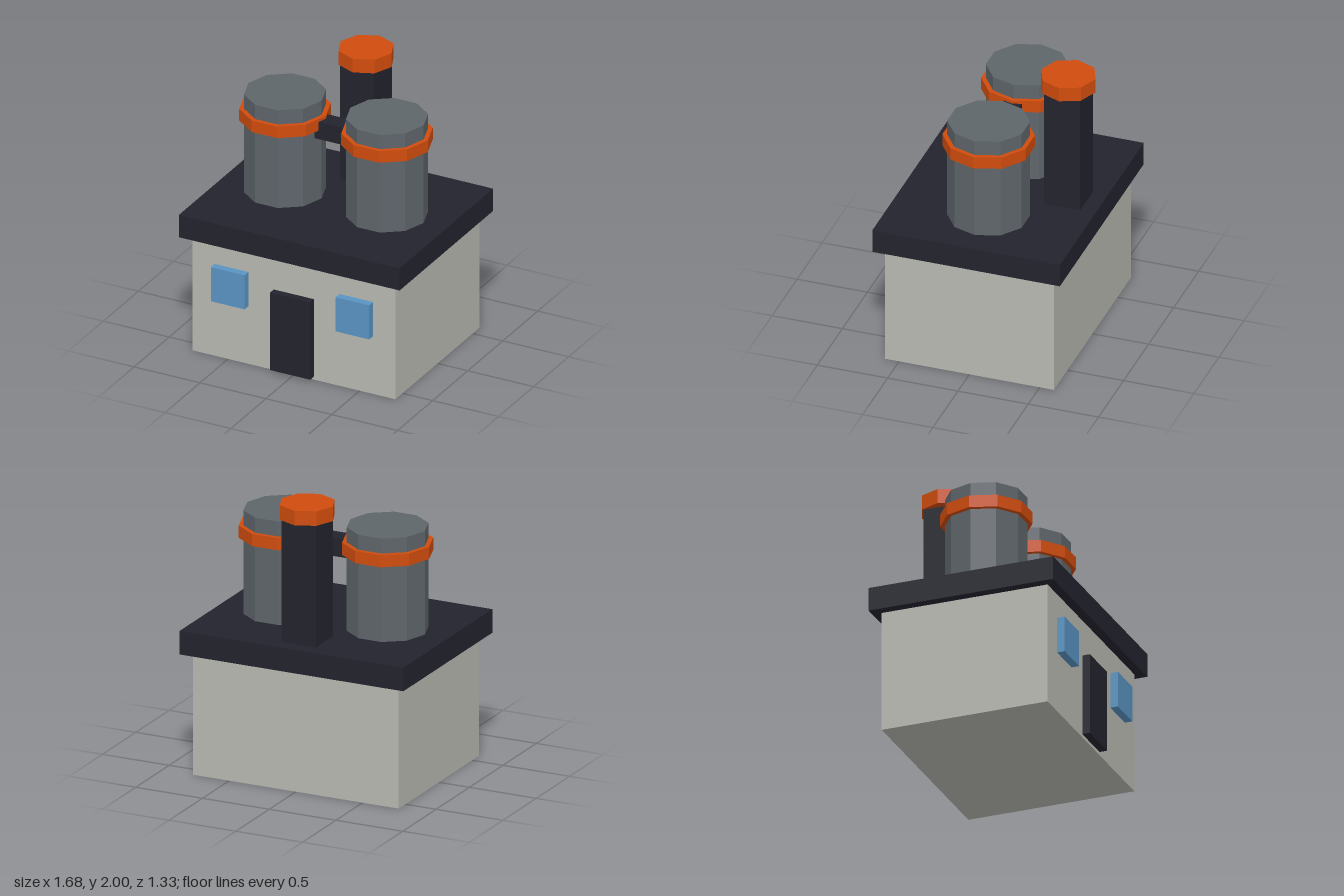
import * as THREE from 'three';

const mat = (name, color) => {
  const m = new THREE.MeshStandardMaterial({ color, flatShading: true });
  m.name = name;
  return m;
};

export function createModel() {
  const wall = mat('pale concrete', 0xb8b8b2);
  const dark = mat('dark slate', 0x23232e);
  const steel = mat('grey steel', 0x5e656a);
  const orange = mat('orange trim', 0xd04c0d);
  const glass = mat('blue glass', 0x5a94c2);

  const model = new THREE.Group();
  model.name = 'factory';

  // Place a geometry in a parent under a part name
  const add = (parent, name, geometry, material, x, y, z) => {
    const mesh = new THREE.Mesh(geometry, material);
    mesh.name = name;
    mesh.position.set(x, y, z);
    parent.add(mesh);
    return mesh;
  };
  // Box given by its centre in x and z and its bottom and top heights
  const box = (name, material, w, d, y0, y1, x = 0, z = 0) =>
    add(model, name, new THREE.BoxGeometry(w, y1 - y0, d), material, x, (y0 + y1) / 2, z);
  // Faceted drum with corners pointing along x
  const drum = (parent, name, material, r, sides, y0, y1, z = 0) => {
    const mesh = add(parent, name, new THREE.CylinderGeometry(r, r, y1 - y0, sides), material, 0, (y0 + y1) / 2, z);
    mesh.rotation.y = Math.PI / 2;
    return mesh;
  };

  // Building
  box('walls', wall, 1.54, 1.2, 0, 0.864);
  box('roofSlab', dark, 1.676, 1.334, 0.864, 1.031);
  box('door', dark, 0.306, 0.08, 0.024, 0.605, 0, 0.615);

  // Windows and storage tanks, mirrored left and right
  for (const [side, s] of [['left', 1], ['right', -1]]) {
    box(side + 'Window', glass, 0.256, 0.08, 0.434, 0.69, s * 0.473, 0.615);

    const tank = new THREE.Group();
    tank.name = side + 'Tank';
    tank.position.x = s * 0.387;
    drum(tank, side + 'TankBody', steel, 0.278, 10, 1.03, 1.765);
    drum(tank, side + 'TankBand', orange, 0.31, 10, 1.572, 1.659);
    model.add(tank);
  }

  // Pipe joining the tanks
  box('connectingPipe', dark, 0.45, 0.13, 1.508, 1.637);

  // Chimney with octagonal cap
  box('chimney', dark, 0.257, 0.257, 1.03, 1.9, 0, -0.43);
  drum(model, 'chimneyCap', orange, 0.193, 8, 1.897, 2, -0.43);

  return model;
}
